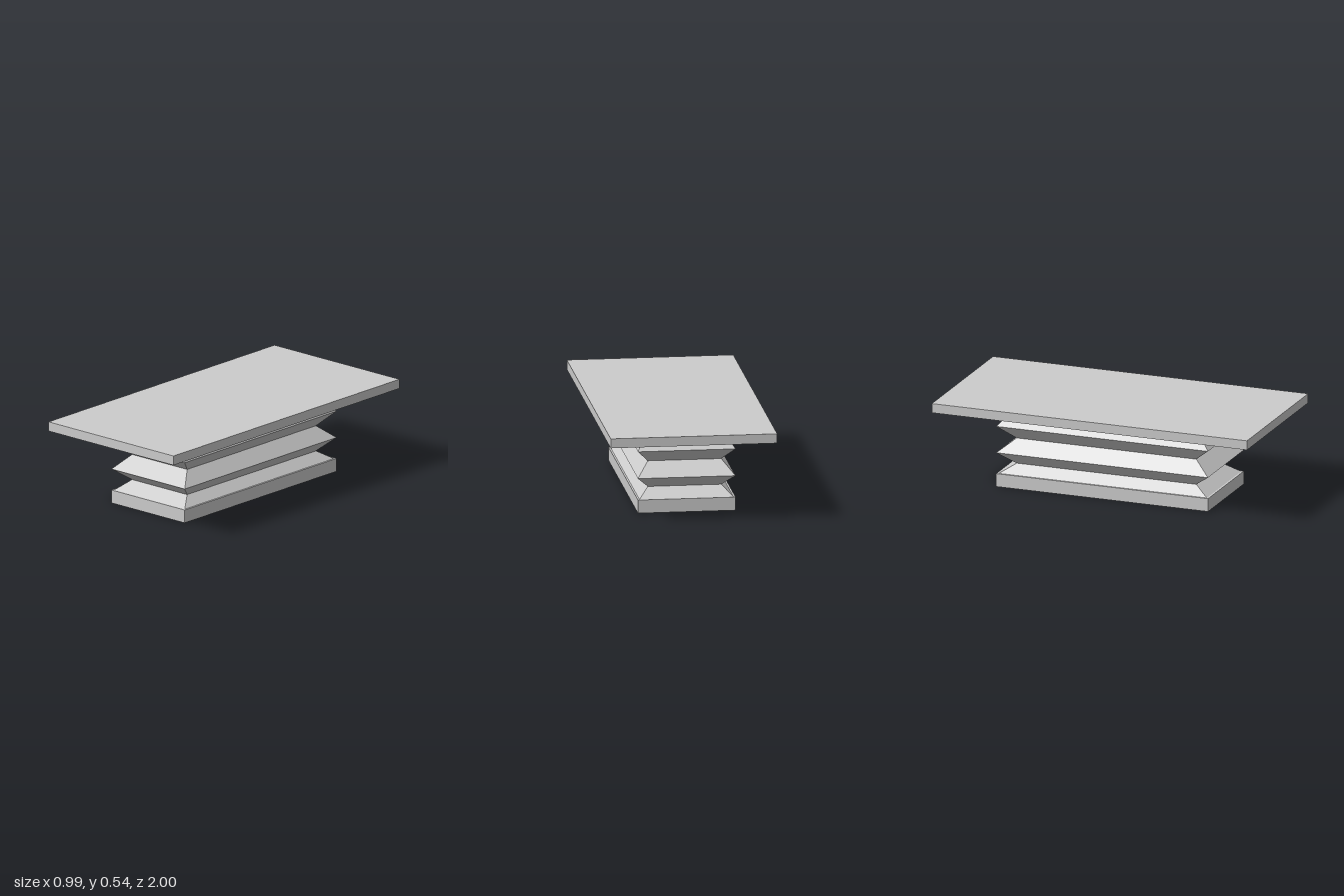
import * as THREE from 'three';

const material = new THREE.MeshStandardMaterial({ color: 0xcccccc, flatShading: true });

function slab(name, width, height, depth, bottom) {
  const mesh = new THREE.Mesh(new THREE.BoxGeometry(width, height, depth), material);
  mesh.name = name;
  mesh.position.y = bottom + height / 2;
  return mesh;
}

// Sloping walls joining stacked rectangles, each given as [y, half width, half depth]
function pleatedWalls(sections) {
  const corners = [[1, 1], [1, -1], [-1, -1], [-1, 1]];
  const point = ([y, hx, hz], i) => [corners[i % 4][0] * hx, y, corners[i % 4][1] * hz];
  const positions = [];
  for (let s = 0; s < sections.length - 1; s++) {
    const low = sections[s], high = sections[s + 1];
    for (let i = 0; i < 4; i++) {
      const a = point(low, i), b = point(low, i + 1), c = point(high, i + 1), d = point(high, i);
      positions.push(...a, ...b, ...c, ...a, ...c, ...d);
    }
  }
  const geometry = new THREE.BufferGeometry();
  geometry.setAttribute('position', new THREE.Float32BufferAttribute(positions, 3));
  geometry.computeVertexNormals();
  return geometry;
}

export function createModel() {
  const group = new THREE.Group();
  group.name = 'liftTable';

  // Base plinth and overhanging platform
  group.add(slab('base', 0.582, 0.08, 1.345, 0));
  group.add(slab('platform', 0.992, 0.057, 2, 0.48));

  // Folded bellows between base and platform
  const bellows = new THREE.Mesh(pleatedWalls([
    [0.08, 0.28, 0.66],
    [0.136, 0.219, 0.57],
    [0.21, 0.291, 0.672],
    [0.292, 0.219, 0.57],
    [0.373, 0.291, 0.672],
    [0.48, 0.222, 0.575],
  ]), material);
  bellows.name = 'bellows';
  group.add(bellows);

  return group;
}
